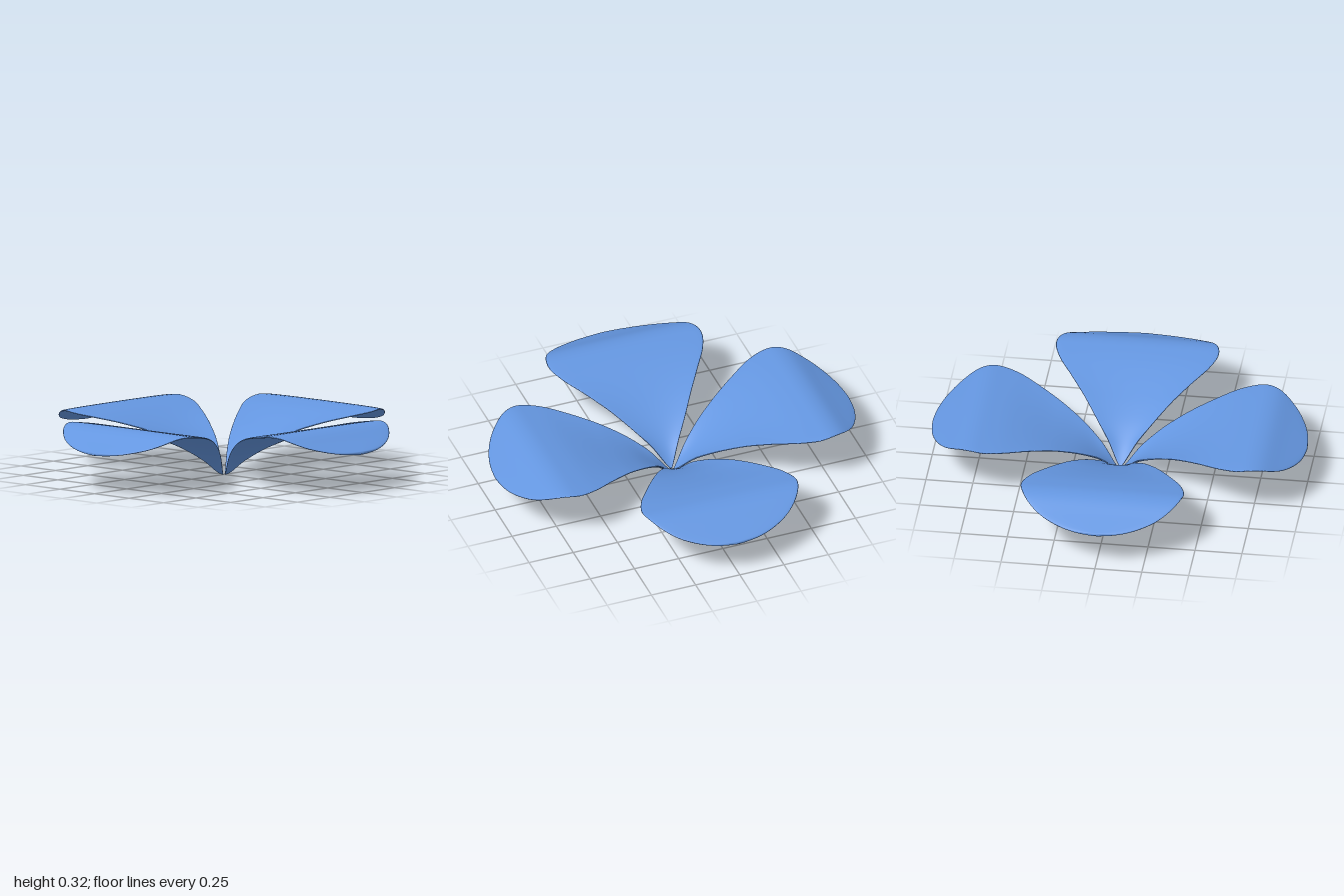
import * as THREE from 'three';

const ROWS = 56, RING = 48, HALF_THICKNESS = 0.008;

// Half width of a petal against distance from the centre
const outline = new THREE.CatmullRomCurve3([
  [0.012, 0.006], [0.1, 0.075], [0.2, 0.15], [0.32, 0.23], [0.46, 0.322], [0.59, 0.402],
  [0.7, 0.434], [0.8, 0.405], [0.89, 0.325], [0.95, 0.225], [0.985, 0.12], [0.999, 0.002],
].map(([r, w]) => new THREE.Vector3(r, w, 0)), false, 'centripetal');

// Height of the midline against distance from the centre
const midline = new THREE.SplineCurve([
  [0, 0.005], [0.03, 0.022], [0.1, 0.08], [0.2, 0.147], [0.3, 0.196], [0.4, 0.235], [0.5, 0.27],
  [0.6, 0.299], [0.7, 0.317], [0.75, 0.32], [0.81, 0.308], [0.9, 0.264], [1, 0.216],
].map(([r, y]) => new THREE.Vector2(r, y))).getPoints(240);

function heightAt(r) {
  const i = Math.max(1, midline.findIndex((p) => p.x >= r));
  const a = midline[i - 1], b = midline[i];
  return THREE.MathUtils.mapLinear(r, a.x, b.x, a.y, b.y);
}

// Thin closed petal pointing along +z, made of rounded cross-sections
function petalGeometry() {
  const positions = [], indices = [];
  for (let i = 0; i <= ROWS; i++) {
    const { x: r, y: width } = outline.getPointAt(i / ROWS);
    // Sides curl up near the base and flatten towards the tip
    const cup = 0.028 * THREE.MathUtils.smoothstep(r, 0, 0.12) * (1 - THREE.MathUtils.smoothstep(r, 0.3, 0.7));
    const thickness = HALF_THICKNESS * Math.min(1, width / 0.03);
    for (let j = 0; j < RING; j++) {
      const a = (j / RING) * Math.PI * 2;
      const u = Math.cos(a), s = Math.sin(a);
      const y = heightAt(r) + cup * u * u + thickness * Math.sign(s) * Math.abs(s) ** 0.5;
      positions.push(u * width, Math.max(0, y), r);
      if (i < ROWS) {
        const p = i * RING + j, q = i * RING + (j + 1) % RING;
        indices.push(p, q, q + RING, p, q + RING, p + RING);
      }
    }
  }
  // Close the base and the tip
  const tip = ROWS * RING;
  for (let j = 1; j < RING - 1; j++) {
    indices.push(0, j + 1, j, tip, tip + j, tip + j + 1);
  }
  const geometry = new THREE.BufferGeometry();
  geometry.setAttribute('position', new THREE.Float32BufferAttribute(positions, 3));
  geometry.setIndex(indices);
  geometry.computeVertexNormals();
  return geometry;
}

export function createModel() {
  const group = new THREE.Group();
  group.name = 'flower';
  const geometry = petalGeometry();
  const material = new THREE.MeshStandardMaterial({ color: 0x6496e0 });
  ['frontPetal', 'leftPetal', 'backPetal', 'rightPetal'].forEach((name, i) => {
    const petal = new THREE.Mesh(geometry, material);
    petal.name = name;
    petal.rotation.y = (i * Math.PI) / 2;
    group.add(petal);
  });
  return group;
}
